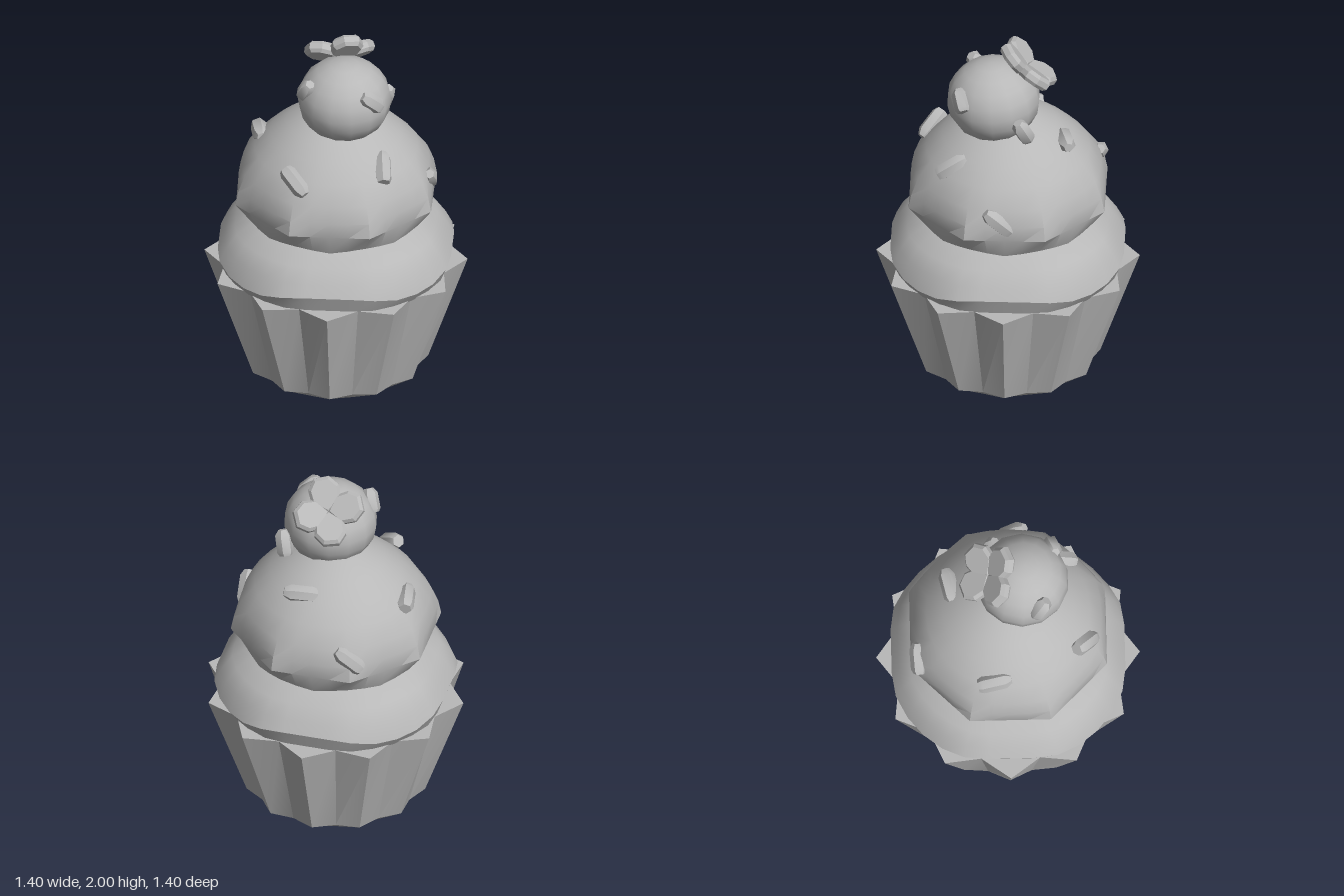
import * as THREE from 'three';
import { toCreasedNormals } from 'three/addons/utils/BufferGeometryUtils.js';

const V = (x, y, z) => new THREE.Vector3(x, y, z);

// Closed skin through rings, bottom to top; each ring maps an angle to [radius, y].
function loft(rings, segs, crease) {
  const pos = [], idx = [];
  rings.forEach((ring) => {
    for (let j = 0; j < segs; j++) {
      const a = (j / segs) * Math.PI * 2;
      const [r, y] = ring(a, j);
      pos.push(Math.sin(a) * r, y, Math.cos(a) * r);
    }
  });
  for (let i = 0; i < rings.length - 1; i++) {
    for (let j = 0; j < segs; j++) {
      const k = (j + 1) % segs;
      const a = i * segs + j, b = i * segs + k, c = b + segs, d = a + segs;
      idx.push(a, b, c, a, c, d);
    }
  }
  const g = new THREE.BufferGeometry();
  g.setAttribute('position', new THREE.Float32BufferAttribute(pos, 3));
  g.setIndex(idx);
  return toCreasedNormals(g, crease);
}

// Angle to the middle of the nearest side of a regular polygon.
const sideAngle = (a, n) => {
  const s = (Math.PI * 2) / n;
  return a - Math.round(a / s) * s;
};
// Octagon of inradius r, blended towards a circle by t.
const octagon = (a, r, t = 0) => r * ((1 - t) / Math.cos(sideAngle(a, 8)) + t);

export function createModel() {
  const group = new THREE.Group();
  const grey = new THREE.MeshStandardMaterial({ color: 0xb8b8b8 });
  grey.name = 'plain grey';

  const add = (name, geometry, parent = group) => {
    const mesh = new THREE.Mesh(geometry, grey);
    mesh.name = name;
    parent.add(mesh);
    return mesh;
  };

  // Pleated paper cup with twelve pointed folds
  const pleat = (outer, inner, y) => (a, j) => [j % 2 ? inner : outer, y];
  add('paperCup', loft([
    pleat(0, 0, 0), pleat(0.41, 0.40, 0), pleat(0.49, 0.45, 0.045),
    pleat(0.7, 0.605, 0.65), pleat(0, 0, 0.65),
  ], 24, 0.45));

  // Lower swirl: broad, with a rim that dips on the diagonals
  const lower = (a, r) => Math.min(r * 1.05, r / Math.cos(sideAngle(a, 4)));
  const dip = (a) => 0.74 - 0.045 * Math.min(1, Math.max(0, (Math.abs(sideAngle(a, 4)) - 0.29) / 0.35));
  add('lowerFrosting', loft([
    () => [0, 0.64],
    (a) => [lower(a, 0.585), 0.64],
    (a) => [lower(a, 0.62), dip(a)],
    (a) => [lower(a, 0.585), 0.80],
    (a) => [lower(a, 0.53), 0.875],
    () => [0.44, 0.945],
    () => [0.3, 1.0],
    () => [0, 1.02],
  ], 32, 0.6));

  // Middle swirl: eight-sided rim, wavy hem, rounded dome
  const wave = (a) => 0.945 - 0.012 * Math.cos(a * 8);
  add('middleFrosting', loft([
    () => [0, 0.97],
    () => [0.40, 0.965],
    (a) => [octagon(a, 0.47, 0.6), wave(a)],
    (a) => [octagon(a, 0.52), 1.06],
    (a) => [octagon(a, 0.517, 0.3), 1.14],
    (a) => [octagon(a, 0.495, 0.6), 1.23],
    () => [0.435, 1.33],
    () => [0.35, 1.415],
    () => [0.26, 1.485],
    () => [0.14, 1.55],
    () => [0, 1.575],
  ], 32, 0.55));

  // Top dollop, leaning forward
  const ball = new THREE.SphereGeometry(0.25, 14, 10);
  const p = ball.attributes.position;
  for (let i = 0; i < p.count; i++) {
    p.setY(i, Math.max(-0.21, p.getY(i) * 0.9));
  }
  ball.computeVertexNormals();
  const dollop = add('topFrosting', toCreasedNormals(ball, 0.75));
  dollop.position.set(0.05, 1.66, 0.075);
  dollop.rotation.x = 0.06;

  // Flower of four thick petals, facing up and back
  const flower = new THREE.Group();
  flower.name = 'flower';
  flower.position.set(0.02, 1.82, -0.075);
  group.add(flower);
  const outline = [[0, 0.01], [0.07, 0.065], [0.075, 0.135], [0.035, 0.185], [-0.04, 0.185], [-0.075, 0.135], [-0.07, 0.065]];
  const petal = toCreasedNormals(new THREE.ExtrudeGeometry(
    new THREE.Shape(outline.map(([x, y]) => new THREE.Vector2(x, y))),
    { depth: 0.03, bevelThickness: 0.018, bevelSize: 0.015, bevelOffset: -0.006, bevelSegments: 1 },
  ), 0.4);
  const facing = V(-0.15, 0.72, -0.68).normalize();
  [[0.08, 0.16, 0.13], [-0.2, 0.05, 0.07], [0.2, -0.02, -0.11], [-0.06, -0.13, -0.16]].forEach((d) => {
    const out = V(...d).addScaledVector(facing, 0.03).normalize();
    const side = out.clone().cross(facing).normalize();
    const up = side.clone().cross(out);
    add('petal', petal, flower).quaternion.setFromRotationMatrix(
      new THREE.Matrix4().makeBasis(side, out, up));
  });

  // Sprinkles: stubby faceted sticks, given by centre, direction and length
  const stick = toCreasedNormals(new THREE.LatheGeometry(
    [[0, -0.5], [0.034, -0.5], [0.045, -0.36], [0.045, 0.3], [0.025, 0.5], [0, 0.5]]
      .map(([x, y]) => new THREE.Vector2(x, y)), 6), 0.1);
  [
    [[-0.2, 1.18, -0.48], [0.13, 0.1, -0.01], 0.17],
    [[0.11, 1.44, -0.31], [0.17, 0.02, -0.04], 0.18],
    [[-0.41, 1.35, -0.08], [0.03, 0.02, 0.17], 0.18],
    [[-0.19, 1.33, 0.41], [0.12, -0.1, 0.11], 0.18],
    [[0.27, 1.365, 0.285], [-0.02, 0.1, -0.16], 0.18],
    [[0.5, 1.165, 0.035], [0.01, 0.13, 0.14], 0.18],
    [[-0.145, 1.76, 0.17], [0.04, 0.1, 0.06], 0.13],
    [[0.205, 1.74, 0.24], [-0.09, 0.08, 0.03], 0.13],
    [[0.26, 1.59, -0.09], [0.03, 0.11, 0.05], 0.14],
  ].forEach(([centre, dir, length]) => {
    const s = add('sprinkle', stick);
    s.position.set(...centre);
    s.quaternion.setFromUnitVectors(V(0, 1, 0), V(...dir).normalize());
    s.scale.set(1, length, 1);
  });

  return group;
}
